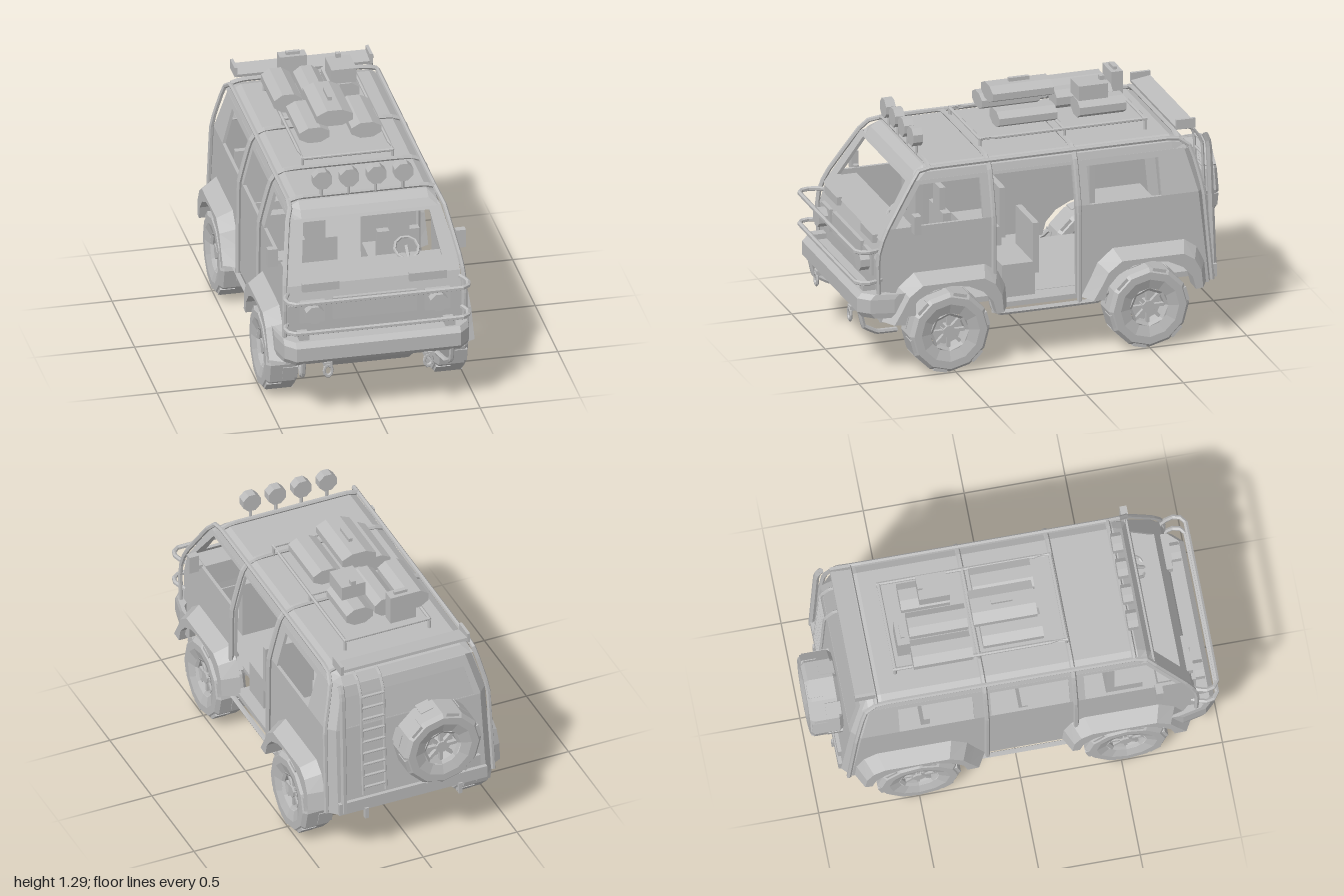
import * as THREE from 'three';

const paint = new THREE.MeshStandardMaterial({ color: 0xbcbcbc, flatShading: true, side: THREE.DoubleSide });
paint.name = 'lightGrey';
const glass = new THREE.MeshStandardMaterial({ color: 0xb8b8b8, flatShading: true });
glass.name = 'glassGrey';

const V = (p) => new THREE.Vector3(...p);
const FRONT = 0.527, REAR = -0.5, AXLE = 0.21;

// Half width of the cabin at a height
const halfWidth = (y) => (y < 0.76 ? 0.44 - (y - 0.3) * 0.022 : 0.43 - (y - 0.76) * 0.26);

// Skin over a row of equal-length point rings
function loft(rings, closed = false) {
  const pos = [];
  for (let i = 0; i < rings.length - 1; i++) {
    const n = rings[i].length;
    for (let j = 0; j < (closed ? n : n - 1); j++) {
      const a = rings[i][j], b = rings[i][(j + 1) % n], c = rings[i + 1][(j + 1) % n], d = rings[i + 1][j];
      pos.push(...a, ...b, ...c, ...a, ...c, ...d);
    }
  }
  const g = new THREE.BufferGeometry();
  g.setAttribute('position', new THREE.Float32BufferAttribute(pos, 3));
  g.computeVertexNormals();
  return g;
}

function moveVertices(g, rule) {
  const p = g.attributes.position;
  for (let i = 0; i < p.count; i++) p.setXYZ(i, ...rule(p.getX(i), p.getY(i), p.getZ(i)));
  g.computeVertexNormals();
  return g;
}

const extrude = (pts, depth, hole) => {
  const s = new THREE.Shape(pts.map((p) => new THREE.Vector2(...p)));
  if (hole) s.holes.push(new THREE.Path(hole.map((p) => new THREE.Vector2(...p))));
  return new THREE.ExtrudeGeometry(s, { depth, bevelEnabled: false });
};

const tubeGeo = (pts, r = 0.012) =>
  new THREE.TubeGeometry(new THREE.CatmullRomCurve3(pts.map(V), false, 'catmullrom', 0.12), pts.length * 5, r, 6);

const rod = (r, len, axis, n = 8) => {
  const g = new THREE.CylinderGeometry(r, r, len, n).rotateY(Math.PI / n);
  return axis === 'x' ? g.rotateZ(Math.PI / 2) : axis === 'z' ? g.rotateX(Math.PI / 2) : g;
};

// Chunky tyre with a spoked rim, axis along x, outer side towards +x
function makeWheel() {
  const wheel = new THREE.Group();
  const put = (name, g) => { const m = new THREE.Mesh(g, paint); m.name = name; wheel.add(m); };
  const lathe = (pts, n) =>
    new THREE.LatheGeometry(pts.map((p) => new THREE.Vector2(...p)), n).rotateZ(-Math.PI / 2);
  put('tyre', lathe([[0.1, -0.065], [0.15, -0.081], [0.188, -0.081], [0.207, -0.062], [0.207, 0.062],
    [0.188, 0.081], [0.15, 0.081], [0.1, 0.065]], 12));
  // Alternating tread blocks
  for (let i = 0; i < 12; i++) {
    const lug = new THREE.BoxGeometry(0.075, 0.02, 0.07).translate(i % 2 ? 0.037 : -0.037, 0.194, 0);
    put('treadBlock', lug.rotateX(((i + 0.5) * Math.PI) / 6));
  }
  put('rimRing', lathe([[0.1, -0.065], [0.085, -0.05], [0.085, 0.055], [0.1, 0.065]], 8));
  put('rimDisc', rod(0.088, 0.01, 'x'));
  put('hub', rod(0.032, 0.06, 'x').translate(0.03, 0, 0));
  for (let i = 0; i < 8; i++) {
    put('spoke', new THREE.BoxGeometry(0.02, 0.07, 0.016).translate(0.04, 0.055, 0).rotateX((i * Math.PI) / 4));
  }
  return wheel;
}

export function createModel() {
  const model = new THREE.Group();
  model.name = 'camperVan';
  const add = (name, g, x = 0, y = 0, z = 0, mat = paint) => {
    const m = new THREE.Mesh(g, mat);
    m.name = name;
    m.position.set(x, y, z);
    model.add(m);
    return m;
  };
  const box = (name, x0, x1, y0, y1, z0, z1) =>
    add(name, new THREE.BoxGeometry(Math.abs(x1 - x0), y1 - y0, Math.abs(z1 - z0)), (x0 + x1) / 2, (y0 + y1) / 2, (z0 + z1) / 2);
  const tube = (name, pts, r) => add(name, tubeGeo(pts, r));
  const both = (fn) => [-1, 1].forEach(fn);

  // Side walls: lower panels with wheel arches, upper pillars around the windows
  const arch = Array.from({ length: 9 }, (_, i) => {
    const a = (i / 8) * Math.PI;
    return [0.235 * Math.cos(a), 0.285 + 0.175 * Math.sin(a)];
  });
  const archAt = (z) => arch.map(([u, y]) => [z - u, y]);
  both((s) => {
    const door = s > 0 ? [[0.28, 0.76], [0.28, 0.31], [-0.14, 0.31], [-0.14, 0.76]] : [];
    const lower = [[0.87, 0.285], [0.88, 0.6], [0.85, 0.7], [0.815, 0.76], ...door, [-0.775, 0.76], [-0.825, 0.285],
      ...archAt(REAR), ...archAt(FRONT)];
    const mid = s > 0 ? [[0.28, 0.76], [0.28, 0.96], [-0.14, 0.96], [-0.14, 0.76]]
      : [[0.26, 0.76], [0.26, 0.95], [-0.13, 0.95], [-0.13, 0.76]];
    const upper = [[0.815, 0.76], [0.785, 0.76], [0.645, 0.955], [0.335, 0.955], [0.335, 0.76], ...mid,
      [-0.215, 0.76], [-0.215, 0.945], [-0.585, 0.945], [-0.585, 0.76], [-0.775, 0.76], [-0.72, 0.975], [0.68, 0.975]];
    for (const [name, pts] of [['sideLower', lower], ['sidePillars', upper]]) {
      const g = extrude(pts.map(([z, y]) => [-z, y]), 0.016).rotateY(Math.PI / 2);
      add(name, moveVertices(g, (x, y, z) => [s * (halfWidth(y) - 0.008) + x - 0.008, y, z]));
    }
    // Chamfered rear corner
    add('rearCorner', loft([[-0.87, 0.29], [-0.82, 0.76], [-0.76, 0.975]]
      .map(([z, y]) => [[s * halfWidth(y), y, z + 0.045], [s * (halfWidth(y) - 0.045), y, z]])));
  });

  // Nose, tail, windscreen frame and rear window frame
  const strip = (pts, inset) => loft(pts.map(([z, y]) => [[halfWidth(y) - inset, y, z], [inset - halfWidth(y), y, z]]));
  add('nosePanel', strip([[0.87, 0.29], [0.88, 0.6], [0.85, 0.7]], 0));
  add('tailPanel', strip([[-0.87, 0.29], [-0.82, 0.76]], 0.045));
  const frame = (name, z0, y0, z1, y1, inset, hole, depth) => {
    const a = halfWidth(y0) - inset, b = halfWidth(y1) - inset;
    const g = extrude([[-a, y0], [a, y0], [b, y1], [-b, y1]], depth, hole);
    add(name, moveVertices(g, (x, y, z) => [x, y, z0 + ((z1 - z0) * (y - y0)) / (y1 - y0) + z - depth / 2]));
  };
  frame('windscreenFrame', 0.85, 0.7, 0.68, 0.97, 0, [[-0.35, 0.765], [0.35, 0.765], [0.315, 0.96], [-0.315, 0.96]], 0.02);
  frame('rearWindowFrame', -0.82, 0.76, -0.76, 0.97, 0.045, [[-0.35, 0.765], [0.35, 0.765], [0.315, 0.915], [-0.315, 0.915]], 0.012);
  add('rearGlass', loft([[[0.35, 0.765, -0.824], [-0.35, 0.765, -0.824]], [[0.315, 0.915, -0.781], [-0.315, 0.915, -0.781]]]), 0, 0, 0, glass);

  // Roof with rounded edges
  const section = [[0.375, 0], [0.362, 0.04], [0.32, 0.065], [-0.32, 0.065], [-0.362, 0.04], [-0.375, 0]];
  add('roof', loft([[0.68, 0], [0.655, 0.55], [0.61, 1], [-0.66, 1], [-0.73, 0.6], [-0.76, 0]]
    .map(([z, k]) => section.map(([x, h]) => [x, 0.97 + h * k, z]))));

  // Flared wheel arches: body edge, outer lip and opening
  const bodyEdge = [[0.34, 0.29], [0.29, 0.38], [0.25, 0.46], [0.17, 0.525], [0, 0.525], [-0.2, 0.525], [-0.265, 0.48], [-0.305, 0.4], [-0.315, 0.29]];
  both((s) => [FRONT, REAR].forEach((z) => {
    add('wheelFlare', loft(bodyEdge.map(([u, y], i) => {
      const [v, h] = arch[i];
      return [[s * 0.43, y, z + u], [s * 0.513, y - (y - 0.285) * 0.2, z + u * 0.86],
        [s * 0.513, h, z + v], [s * 0.425, h, z + v]];
    }), true));
    const wheel = makeWheel();
    wheel.name = 'wheel';
    wheel.position.set(s * 0.423, AXLE, z);
    wheel.rotation.y = s > 0 ? 0 : Math.PI;
    model.add(wheel);
  }));

  // Spare wheel on the tail
  const spare = makeWheel();
  spare.name = 'spareWheel';
  spare.position.set(-0.11, 0.62, -0.919);
  spare.rotation.y = Math.PI / 2;
  model.add(spare);
  add('spareMount', rod(0.04, 0.1, 'z'), -0.11, 0.62, -0.86);

  // Floor and chassis
  box('floor', -0.33, 0.33, 0.29, 0.31, -0.86, 0.86);
  box('floorCentre', -0.43, 0.43, 0.288, 0.308, -0.22, 0.25);
  both((s) => {
    box('chassisRail', s * 0.19, s * 0.25, 0.25, 0.29, -0.79, 0.74);
    [FRONT, REAR].forEach((z) => {
      box('springMount', s * 0.25, s * 0.33, 0.235, 0.27, z - 0.1, z + 0.1);
      add('damper', rod(0.018, 0.16, 'y'), s * 0.31, 0.26, z + 0.06);
    });
  });
  [0.7, 0.25, -0.2, -0.72].forEach((z) => box('crossMember', -0.25, 0.25, 0.255, 0.288, z - 0.025, z + 0.025));
  [FRONT, REAR].forEach((z) => {
    add('axle', rod(0.025, 0.74, 'x'), 0, AXLE, z);
    box('differential', -0.075, 0.075, 0.155, 0.27, z - 0.07, z + 0.07);
  });
  add('skidPlate', loft([[0.86, 0.275], [0.72, 0.175], [0.45, 0.175], [0.38, 0.27]].map(([z, y]) => [[0.205, y, z], [-0.205, y, z]])));

  // Bumpers
  const bumperRing = (x, zf, k = 1) => [[-0.025, 0.44], [0, 0.415], [0, 0.345], [-0.025, 0.317], [-0.11, 0.317], [-0.11, 0.44]]
    .map(([d, y]) => [x, 0.38 + (y - 0.38) * k, zf + d]);
  add('frontBumper', loft([[-0.485, 0.81, 0], [-0.485, 0.81], [-0.46, 0.925], [-0.41, 0.978], [0.41, 0.978], [0.46, 0.925],
    [0.485, 0.81], [0.485, 0.81, 0]].map((a) => bumperRing(...a)), true));
  box('rearBumper', -0.395, 0.395, 0.29, 0.355, -0.882, -0.8);
  both((s) => {
    box('bumperLamp', s * 0.34, s * 0.39, 0.438, 0.468, 0.875, 0.94);
    tube('bullBarFoot', [[s * 0.37, 0.33, 0.95], [s * 0.37, 0.25, 0.93], [s * 0.36, 0.21, 0.86], [s * 0.34, 0.2, 0.75]], 0.013);
    const hook = add('towHook', new THREE.TorusGeometry(0.02, 0.008, 6, 10), s * 0.25, 0.275, 0.96);
    hook.scale.y = 1.5;
    box('towHookTab', s * 0.25 - 0.02, s * 0.25 + 0.02, 0.295, 0.32, 0.92, 0.965);
    box('rearHook', s * 0.25 - 0.01, s * 0.25 + 0.01, 0.24, 0.3, -0.89, -0.87);
  });

  // Bull bars and nose details
  [0.665, 0.505].forEach((y) => tube('bullBar', [[-0.43, y, 0.86], [-0.457, y, 0.92], [-0.42, y, 0.988], [0.42, y, 0.988],
    [0.457, y, 0.92], [0.43, y, 0.86]], 0.012));
  box('grille', -0.21, 0.21, 0.515, 0.63, 0.87, 0.89);
  both((s) => {
    add('headlight', rod(0.048, 0.07, 'z'), s * 0.31, 0.57, 0.905);
    box('headlightFrame', s * 0.25, s * 0.375, 0.51, 0.625, 0.87, 0.892);
    box('indicator', s * 0.175, s * 0.36, 0.672, 0.715, 0.845, 0.88);
    box('mirror', s * 0.445, s * 0.495, 0.74, 0.835, 0.675, 0.71);
    box('mirrorArm', s * 0.42, s * 0.45, 0.75, 0.77, 0.68, 0.705);
  });

  // External tube cage
  both((s) => {
    tube('cageSide', [[s * 0.45, 0.33, 0.875], [s * 0.45, 0.62, 0.885], [s * 0.44, 0.74, 0.845], [s * 0.39, 0.98, 0.685],
      [s * 0.365, 1.03, 0.61], [s * 0.365, 1.03, -0.66], [s * 0.385, 0.98, -0.75], [s * 0.435, 0.76, -0.8], [s * 0.445, 0.3, -0.84]]);
    tube('sillTube', [[s * 0.44, 0.34, 0.3], [s * 0.45, 0.265, 0.27], [s * 0.45, 0.265, -0.25], [s * 0.44, 0.3, -0.3]], 0.013);
  });
  [0.285, -0.155].forEach((z) => {
    const half = [[0.45, 0.27, z], [0.445, 0.76, z], [0.39, 0.98, z], [0.35, 1.035, z], [0.25, 1.045, z]];
    tube('cageHoop', [...half, ...half.slice().reverse().map(([x, y, w]) => [-x, y, w])], 0.013);
  });
  [0.59, -0.69].forEach((z) => tube('cageCrossbar', [[-0.365, 1.03, z], [-0.3, 1.045, z], [0.3, 1.045, z], [0.365, 1.03, z]]));

  // Roof rack
  both((s) => {
    tube('rackRail', [[s * 0.225, 1.09, 0.285], [s * 0.225, 1.09, -0.58]], 0.009);
    [0.28, -0.155, -0.57].forEach((z) => add('rackLeg', rod(0.008, 0.07, 'y'), s * 0.225, 1.06, z));
  });
  [0.28, -0.155, -0.57].forEach((z) => add('rackBar', rod(0.009, 0.45, 'x'), 0, 1.09, z));

  // Spotlights on the roof
  [-0.203, -0.068, 0.068, 0.203].forEach((x) => {
    add('spotlight', rod(0.05, 0.05, 'z'), x, 1.142, 0.607);
    add('spotlightStalk', rod(0.008, 0.06, 'y'), x, 1.075, 0.6);
  });

  // Luggage: eight-sided rolls, then boxes
  [[-0.14, 1.152, 0.02, 0.15, 0.08, 0.3], [0.12, 1.152, 0.02, 0.15, 0.08, 0.3], [-0.035, 1.227, -0.003, 0.18, 0.083, 0.315],
    [-0.19, 1.152, -0.335, 0.14, 0.095, 0.295], [-0.04, 1.152, -0.33, 0.125, 0.095, 0.29], [0.11, 1.15, -0.37, 0.14, 0.09, 0.24]]
    .forEach(([x, y, z, w, h, len]) => add('luggageRoll', rod(0.5412, len, 'z').scale(w, h, 1), x, y, z));
  box('rollHandle', -0.045, -0.025, 1.265, 1.287, -0.06, 0.045);
  box('luggageBox', 0.04, 0.165, 1.2, 1.275, -0.4, -0.25);
  box('luggageBoxKnob', 0.09, 0.115, 1.275, 1.297, -0.4, -0.375);
  box('fuelCan', -0.165, -0.03, 1.1, 1.25, -0.545, -0.485);
  box('fuelCanHandle', -0.13, -0.06, 1.25, 1.265, -0.525, -0.505);

  // Rear spoiler, ladder and exhaust stack
  const spoiler = box('spoiler', -0.335, 0.335, 1.065, 1.08, -0.79, -0.69);
  spoiler.rotation.x = 0.15;
  both((s) => box('spoilerEnd', s * 0.33, s * 0.345, 1.06, 1.11, -0.79, -0.69));
  both((s) => {
    const x = 0.205 + s * 0.06;
    tube('ladderRail', [[x, 1.04, -0.72], [x, 1.03, -0.8], [x, 0.95, -0.85], [x, 0.6, -0.865], [x, 0.38, -0.88]], 0.008);
  });
  for (let i = 0; i < 9; i++) add('ladderRung', rod(0.007, 0.12, 'x'), 0.205, 0.42 + i * 0.066, -0.877 + i * 0.003);
  tube('exhaustStack', [[0.365, 0.3, -0.875], [0.365, 0.72, -0.86], [0.365, 0.98, -0.85], [0.365, 1.03, -0.83]], 0.016);
  box('numberPlate', -0.36, -0.25, 0.37, 0.43, -0.878, -0.86);

  // Interior: dashboard, steering wheel, seats and a bench
  box('dashboard', -0.4, 0.4, 0.62, 0.74, 0.7, 0.82);
  const steering = add('steeringWheel', new THREE.TorusGeometry(0.06, 0.008, 6, 10), 0.2, 0.765, 0.7);
  steering.rotation.x = -0.9;
  add('steeringColumn', rod(0.01, 0.12, 'z'), 0.2, 0.735, 0.74).rotation.x = 0.7;
  both((s) => {
    box('seatBase', s * 0.1, s * 0.31, 0.455, 0.53, 0.46, 0.64);
    box('seatBack', s * 0.1, s * 0.31, 0.52, 0.76, 0.46, 0.5);
    box('headrest', s * 0.16, s * 0.26, 0.76, 0.875, 0.47, 0.5);
    box('middleSeatBase', s * 0.12, s * 0.38, 0.31, 0.48, 0.05, 0.22);
    box('middleSeatBack', s * 0.12, s * 0.38, 0.42, 0.68, 0.03, 0.06);
  });
  box('benchSeat', -0.4, 0.4, 0.455, 0.5, -0.76, -0.42);
  box('benchBack', -0.4, -0.2, 0.5, 0.79, -0.46, -0.43);
  return model;
}
